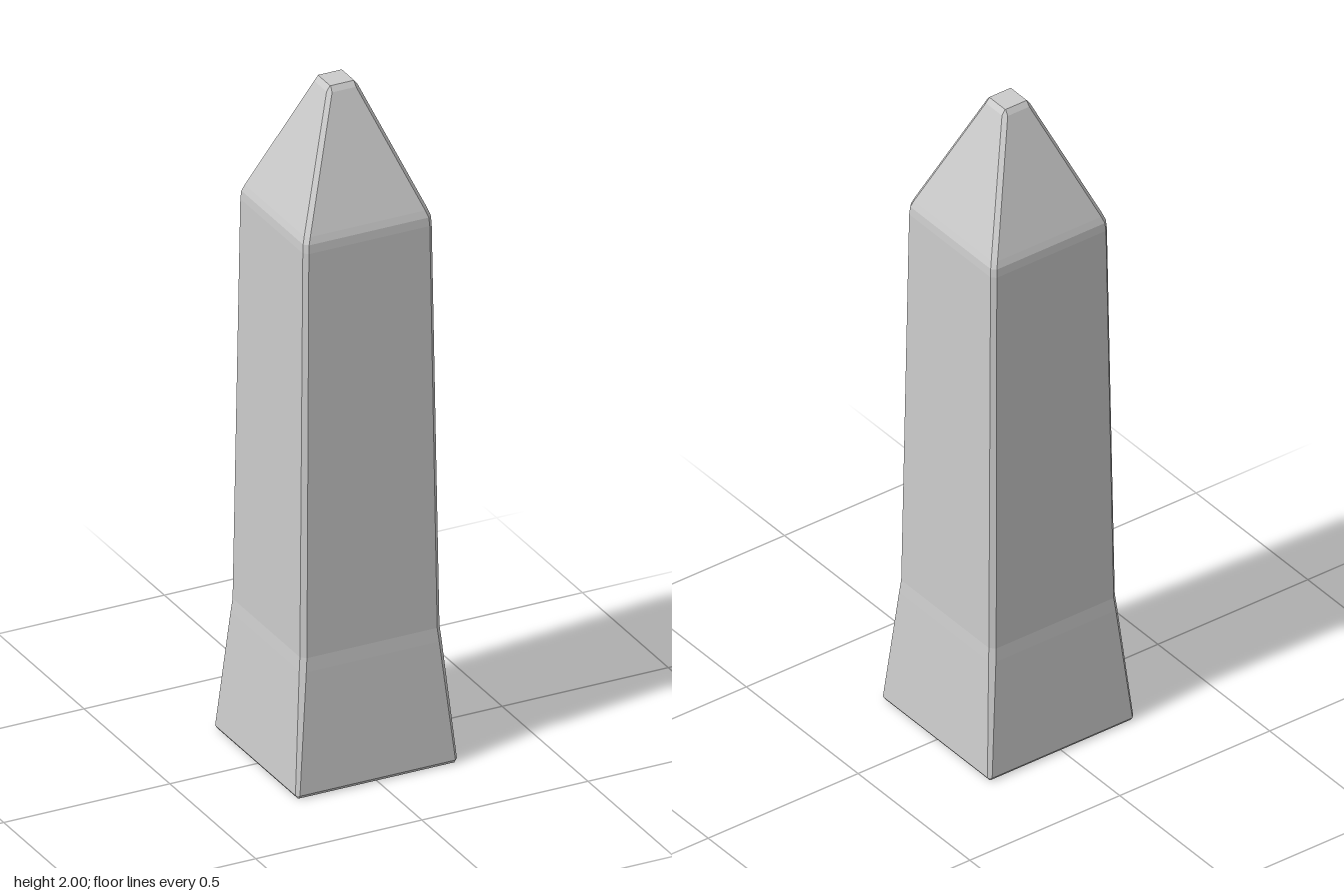
import * as THREE from 'three';

// Square cross-sections with cut corners: [height, half width, corner cut]
const SECTIONS = [
  [0, 0.236, 0.002],
  [0.01, 0.243, 0.009],
  [0.36, 0.214, 0.014],
  [0.4, 0.21, 0.014],
  [1.6, 0.194, 0.012],
  [1.625, 0.192, 0.012],
  [1.645, 0.185, 0.012],
  [1.985, 0.047, 0.011],
  [2, 0.036, 0.001],
];

// Eight corners of one section, counter-clockwise from above
function ring([y, half, cut]) {
  const points = [];
  for (let side = 0; side < 4; side++) {
    for (const x of [cut - half, half - cut]) {
      points.push(new THREE.Vector3(x, y, half).applyAxisAngle(new THREE.Vector3(0, 1, 0), side * Math.PI / 2));
    }
  }
  return points;
}

// Skin the sections with flat faces and close both ends
function loft(sections) {
  const rings = sections.map(ring);
  const corners = [];
  const triangle = (...points) => points.forEach((p) => corners.push(p));
  for (let i = 0; i < rings.length - 1; i++) {
    for (let j = 0; j < 8; j++) {
      const k = (j + 1) % 8;
      const lower = rings[i], upper = rings[i + 1];
      triangle(lower[j], lower[k], upper[k]);
      triangle(lower[j], upper[k], upper[j]);
    }
  }
  const bottom = rings[0], top = rings[rings.length - 1];
  for (let j = 1; j < 7; j++) {
    triangle(bottom[0], bottom[j + 1], bottom[j]);
    triangle(top[0], top[j], top[j + 1]);
  }
  const geometry = new THREE.BufferGeometry().setFromPoints(corners);
  geometry.computeVertexNormals();
  return geometry;
}

export function createModel() {
  const group = new THREE.Group();
  group.name = 'obelisk';
  // Flared foot, tapering shaft and blunt pyramid tip in one block
  const stone = new THREE.Mesh(
    loft(SECTIONS),
    new THREE.MeshStandardMaterial({ color: 0xcccccc, flatShading: true }),
  );
  stone.name = 'obeliskStone';
  group.add(stone);
  return group;
}
